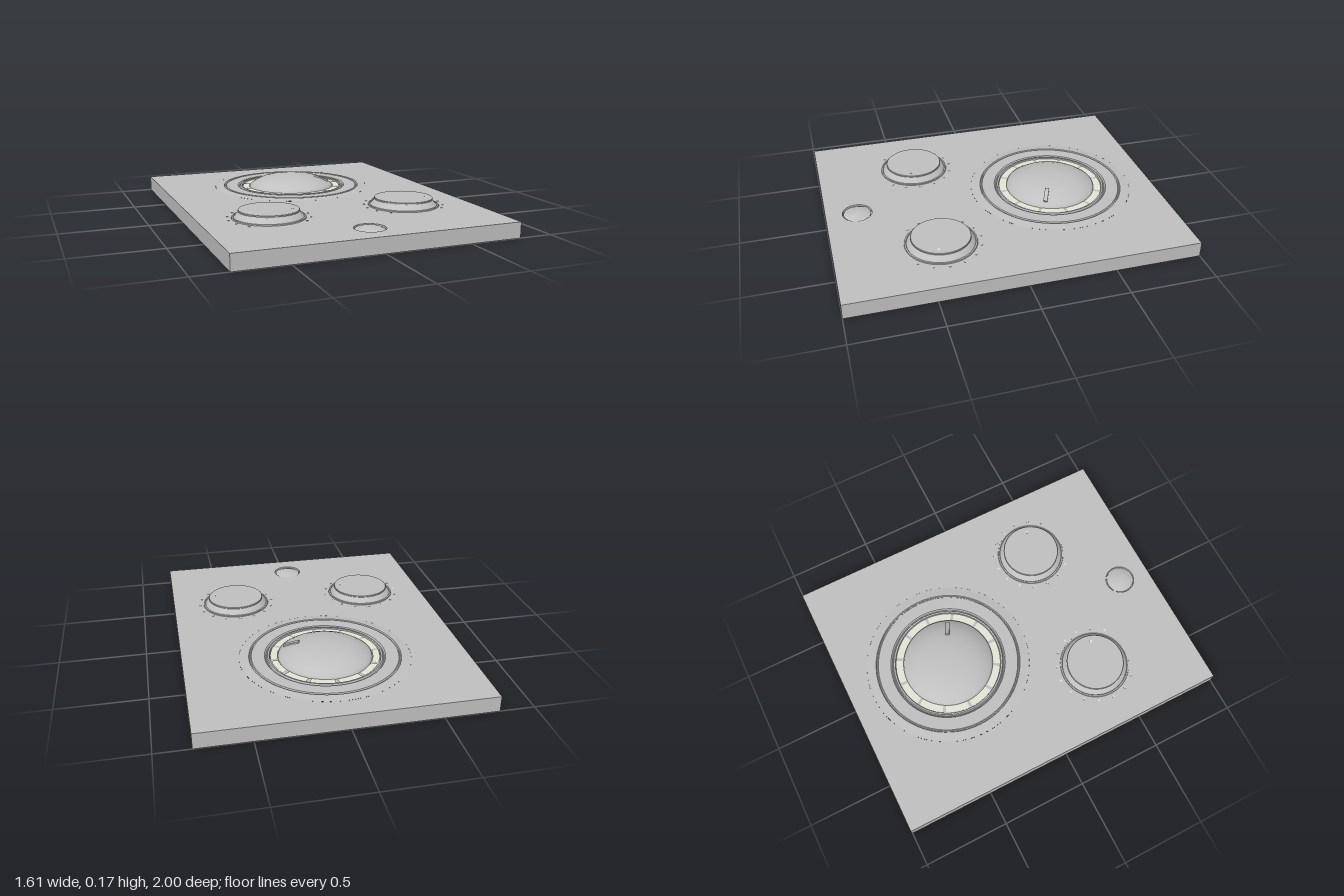
import * as THREE from 'three';
import { toCreasedNormals } from 'three/addons/utils/BufferGeometryUtils.js';

const grey = new THREE.MeshStandardMaterial({ color: 0xc0c0c0 });
grey.name = 'panel grey';
const cream = new THREE.MeshStandardMaterial({ color: 0xe4e4d6 });
cream.name = 'marking cream';

const TOP = 0.09;
const DIAL_Z = -0.38, DIAL_R = 0.49;
const KNOB_X = 0.413, KNOB_Z = 0.4;
const LAMP_Z = 0.815, LAMP_R = 0.087;

function add(parent, name, geometry, material, x = 0, y = 0, z = 0) {
  const mesh = new THREE.Mesh(geometry, material);
  mesh.name = name;
  mesh.position.set(x, y, z);
  parent.add(mesh);
  return mesh;
}

// Turned part; points are [radius, height], listed outside in for upper faces
function turned(points, segments = 64, crease = 0.5) {
  const pts = points.map(([r, y]) => new THREE.Vector2(r, y));
  return toCreasedNormals(new THREE.LatheGeometry(pts, segments), crease);
}

// Flat slab with round openings for the dial and the small button
function panelGeometry() {
  const shape = new THREE.Shape();
  shape.moveTo(-0.805, -1);
  shape.lineTo(0.805, -1);
  shape.lineTo(0.805, 1);
  shape.lineTo(-0.805, 1);
  shape.closePath();
  for (const [z, r] of [[DIAL_Z, DIAL_R], [LAMP_Z, LAMP_R]]) {
    const hole = new THREE.Path();
    hole.absarc(0, -z, r, 0, Math.PI * 2, true);
    shape.holes.push(hole);
  }
  const g = new THREE.ExtrudeGeometry(shape, { depth: TOP, bevelEnabled: false, curveSegments: 64 });
  return g.rotateX(-Math.PI / 2);
}

function buildDial() {
  const dial = new THREE.Group();
  dial.name = 'mainDial';
  dial.position.z = DIAL_Z;

  // Softly raised surround with two grooves and a recessed track
  add(dial, 'dialSurround', turned([
    [DIAL_R, TOP], [0.465, 0.092], [0.445, 0.097], [0.434, 0.097], [0.43, 0.09],
    [0.424, 0.09], [0.42, 0.097], [0.345, 0.096], [0.338, 0.088], [0.333, 0.088],
    [0.328, 0.097], [0.318, 0.096], [0.315, 0.087], [0.26, 0.087],
  ]), grey);

  // Shallow dent underneath
  add(dial, 'undersideDent', turned([
    [0, 0.03], [0.17, 0.03], [0.18, 0.022], [0.22, 0.008], [0.27, 0.002], [0.32, 0], [DIAL_R, 0],
  ]), grey);

  // Domed cap
  add(dial, 'dialDome', turned([
    [0.27, 0.085], [0.266, 0.098], [0.255, 0.106], [0.23, 0.122], [0.19, 0.14],
    [0.14, 0.153], [0.08, 0.162], [0.04, 0.1645], [0, 0.165],
  ], 64, 0.9), grey);

  // Scale segments around the dome
  const count = 12, step = Math.PI * 2 / count;
  for (let i = 0; i < count; i++) {
    const g = new THREE.RingGeometry(0.272, 0.312, 8, 1, i * step + 0.03, step - 0.06);
    add(dial, 'scaleSegment', g.rotateX(-Math.PI / 2), cream, 0, 0.091, 0);
  }

  // Pointer lying along the slope of the dome
  const arm = new THREE.Group();
  arm.name = 'dialPointerArm';
  arm.rotation.y = -0.44;
  const pointer = add(arm, 'dialPointer', new THREE.BoxGeometry(0.095, 0.012, 0.024), grey, 0.198, 0.138, 0);
  pointer.rotation.z = -0.38;
  dial.add(arm);
  return dial;
}

function buildKnob(x) {
  const knob = new THREE.Group();
  knob.name = x > 0 ? 'leftKnob' : 'rightKnob';
  knob.position.set(x, 0, KNOB_Z);

  // Flared skirt with a thin overhanging cap
  add(knob, 'knobSkirt', turned([
    [0.207, 0.088], [0.205, 0.096], [0.197, 0.097], [0.194, 0.093], [0.188, 0.1],
    [0.175, 0.114], [0.164, 0.123], [0.162, 0.128],
  ], 48), grey);
  add(knob, 'knobCap', turned([
    [0.16, 0.127], [0.17, 0.127], [0.17, 0.134], [0.168, 0.136], [0, 0.136],
  ], 48), grey);

  // Indicator dot on the cap
  add(knob, 'knobIndicator', new THREE.CylinderGeometry(0.008, 0.008, 0.002, 12), cream, 0.125, 0.1365, 0.038);

  // Scale dots around the skirt
  for (let i = -6; i <= 6; i++) {
    const a = i * Math.PI / 8;
    add(knob, 'scaleDot', new THREE.CylinderGeometry(0.006, 0.006, 0.003, 10), cream,
      Math.sin(a) * 0.229, TOP + 0.001, -Math.cos(a) * 0.229);
  }
  return knob;
}

function buildButton() {
  const button = new THREE.Group();
  button.name = 'smallButton';
  button.position.z = LAMP_Z;
  const height = r => 0.101 - 2.6 * r * r;

  // Low dome in a narrow round groove
  const profile = [[LAMP_R, TOP], [0.085, 0.078], [0.081, 0.078]];
  for (const r of [0.08, 0.07, 0.055, 0.04, 0.02, 0]) profile.push([r, height(r)]);
  add(button, 'buttonDome', turned(profile, 48), grey);
  add(button, 'buttonUnderside', new THREE.CircleGeometry(LAMP_R, 64).rotateX(Math.PI / 2), grey);

  // Square face following the dome
  const face = new THREE.PlaneGeometry(0.114, 0.104, 8, 8).rotateX(-Math.PI / 2);
  face.translate(0, 0, -0.018);
  const p = face.attributes.position;
  for (let i = 0; i < p.count; i++) p.setY(i, height(Math.hypot(p.getX(i), p.getZ(i))) + 0.002);
  face.computeVertexNormals();
  add(button, 'buttonFace', face, grey);
  return button;
}

export function createModel() {
  const model = new THREE.Group();
  model.name = 'controlPanel';
  add(model, 'panel', panelGeometry(), grey);
  model.add(buildDial(), buildKnob(KNOB_X), buildKnob(-KNOB_X), buildButton());
  return model;
}
